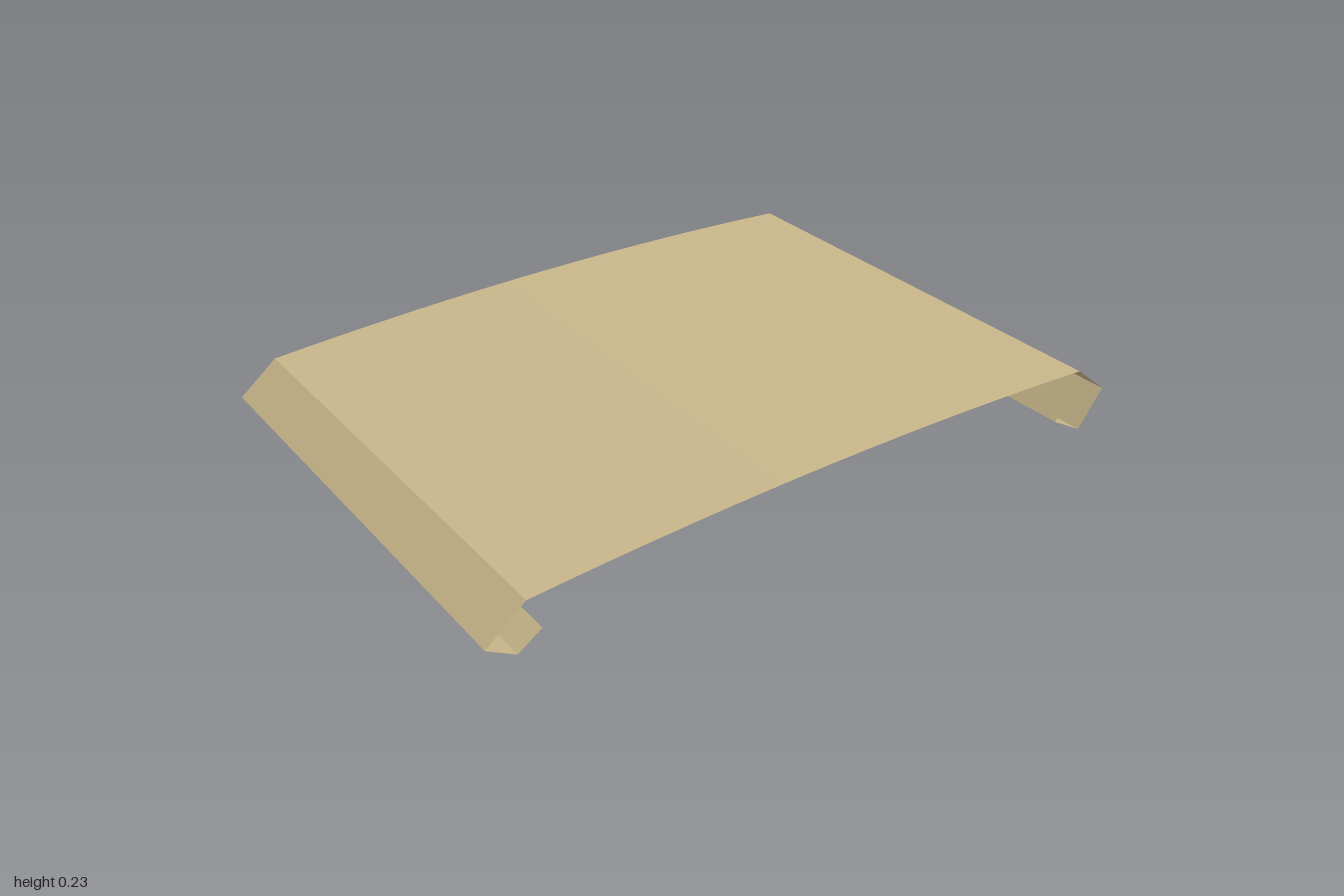
import * as THREE from 'three';

const HALF_WIDTH = 0.685;

// Sweeps a [z, y] profile across the width as a thin open sheet.
function sheet(name, profile, material, smooth) {
  const positions = [];
  const index = [];
  profile.forEach(([z, y], i) => {
    positions.push(-HALF_WIDTH, y, z, HALF_WIDTH, y, z);
    if (i > 0) {
      const a = 2 * (i - 1);
      index.push(a, a + 1, a + 2, a + 1, a + 3, a + 2);
    }
  });
  let geometry = new THREE.BufferGeometry();
  geometry.setAttribute('position', new THREE.Float32BufferAttribute(positions, 3));
  geometry.setIndex(index);
  if (!smooth) geometry = geometry.toNonIndexed();
  geometry.computeVertexNormals();
  const mesh = new THREE.Mesh(geometry, material);
  mesh.name = name;
  return mesh;
}

export function createModel() {
  const group = new THREE.Group();
  group.name = 'curvedSlat';
  const tan = new THREE.MeshStandardMaterial({ color: 0xc8b68a, side: THREE.DoubleSide });
  tan.name = 'tan';

  // Gently arched main panel, front to back
  const edgeZ = 0.89, edgeY = 0.197, rise = 0.03, steps = 16;
  const arch = [];
  for (let i = 0; i <= steps; i++) {
    const t = 1 - (2 * i) / steps;
    arch.push([edgeZ * t, edgeY + rise * (1 - t * t)]);
  }
  group.add(sheet('archedPanel', arch, tan, true));

  // Small folded hook along the front edge
  const frontProfile = [[0.853, 0.105], [0.92, 0.06], [1, 0.108], [edgeZ, edgeY]];
  group.add(sheet('frontHook', frontProfile, tan, false));

  // Larger curled hook along the back edge
  const backProfile = [[-edgeZ, edgeY], [-1, 0.108], [-0.92, 0], [-0.815, 0.06], [-0.877, 0.14]];
  group.add(sheet('backHook', backProfile, tan, false));

  return group;
}
